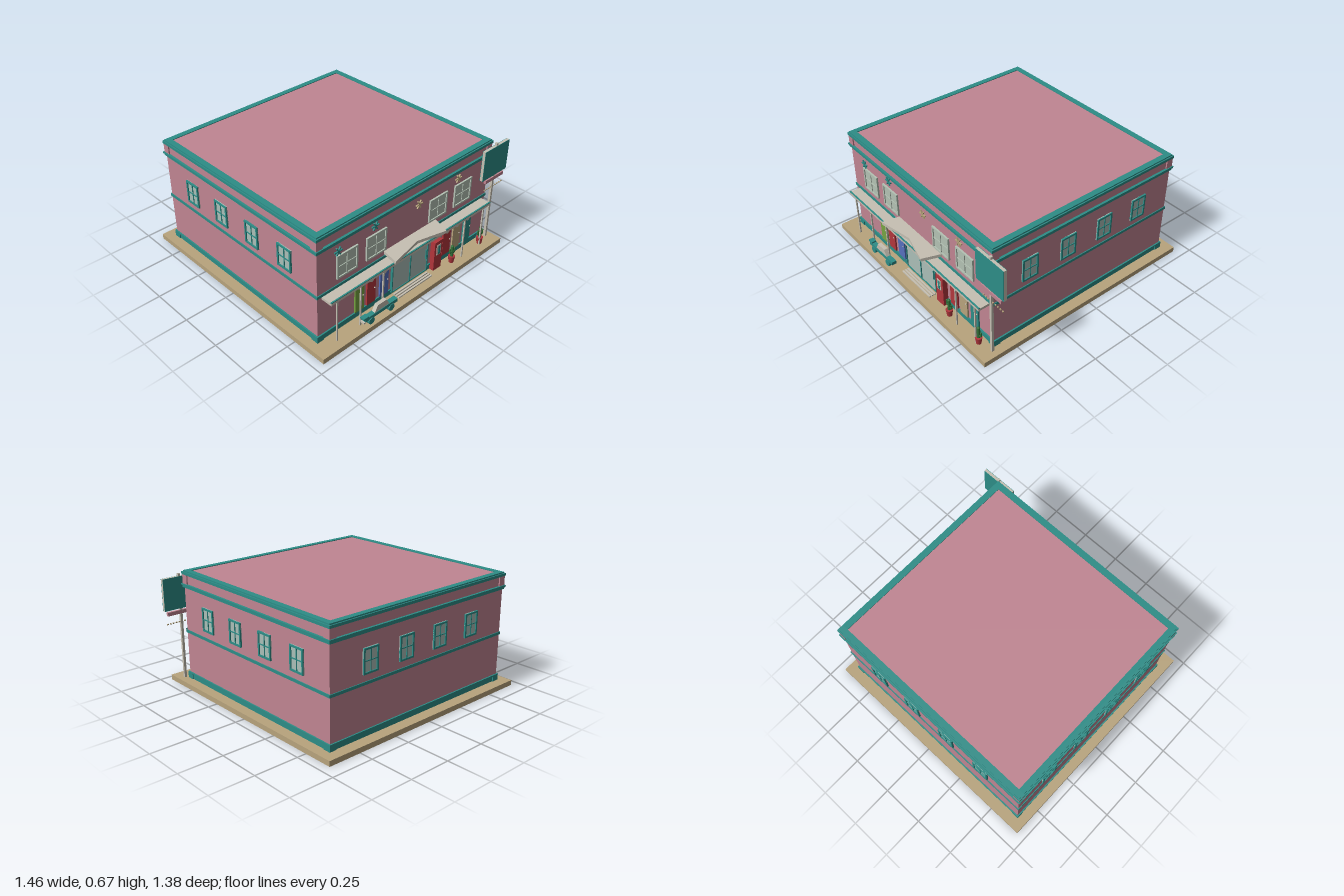
import * as THREE from 'three';

const mat = (name, color) => Object.assign(new THREE.MeshStandardMaterial({ color }), { name });

export function createModel() {
  const root = new THREE.Group();
  const pink = mat('pink stucco', 0xc08592), teal = mat('teal trim', 0x2d8d87);
  const tan = mat('tan', 0xb8a47d), glass = mat('pale glass', 0xabbfb8);
  const light = mat('light grey', 0xc6c0b3), red = mat('red', 0xb2363c);
  const green = mat('lime green', 0x76a342), blue = mat('blue', 0x5670be);
  const leaf = mat('cactus green', 0x33733a), sage = mat('sage glass', 0xb4c2b4);

  const add = (name, geo, m, x = 0, y = 0, z = 0, parent = root) => {
    const mesh = new THREE.Mesh(geo, m);
    mesh.name = name;
    mesh.position.set(x, y, z);
    parent.add(mesh);
    return mesh;
  };
  // Box given by its minimum and maximum on each axis
  const box = (name, m, x0, x1, y0, y1, z0, z1, parent = root) =>
    add(name, new THREE.BoxGeometry(x1 - x0, y1 - y0, z1 - z0), m,
      (x0 + x1) / 2, (y0 + y1) / 2, (z0 + z1) / 2, parent);
  const group = (name, x = 0, y = 0, z = 0, ry = 0) => {
    const g = new THREE.Group();
    g.name = name;
    g.position.set(x, y, z);
    g.rotation.y = ry;
    root.add(g);
    return g;
  };

  // Ground slab and main block, which reaches down through the slab
  const X0 = -0.64, X1 = 0.635, Z = 0.603;
  box('groundSlab', tan, -0.7, 0.697, 0, 0.03, -0.67, 0.71);
  box('walls', pink, X0, X1, 0, 0.666, -Z, Z);

  // Trim bands running round the building
  function band(name, y0, y1, out, inner = 0.03) {
    const g = group(name), a = X0 - out, b = X1 + out, c = Z + out, zi = Z - inner;
    box(name + 'Back', teal, a, b, y0, y1, -c, -zi, g);
    box(name + 'Front', teal, a, b, y0, y1, zi, c, g);
    box(name + 'Left', teal, a, X0 + inner, y0, y1, -zi, zi, g);
    box(name + 'Right', teal, X1 - inner, b, y0, y1, -zi, zi, g);
  }
  band('baseTrim', 0.03, 0.06, 0.003);
  band('baseLip', 0.06, 0.068, 0.008);
  band('beltTrim', 0.307, 0.323, 0.005);
  band('cornice', 0.573, 0.585, 0.008);
  band('corniceLip', 0.585, 0.595, 0.013);
  band('roofRim', 0.648, 0.663, 0.01);
  band('roofCap', 0.663, 0.67, 0.003);

  // Corner blocks on the base and parapet
  for (const x of [X0 + 0.014, X1 - 0.014]) for (const z of [-Z + 0.014, Z - 0.014]) {
    add('parapetCorner', new THREE.BoxGeometry(0.042, 0.054, 0.042), pink, x, 0.621, z);
    add('baseCorner', new THREE.BoxGeometry(0.044, 0.032, 0.044), teal, x, 0.046, z);
  }

  // Four-pane window facing +z of its group
  function windowUnit(x, z, ry, w, h, frame, pane) {
    const g = group('window', x, 0.43, z, ry), t = 0.01;
    box('windowGlass', pane, -w / 2, w / 2, -h / 2, h / 2, -0.002, 0.004, g);
    for (const s of [-1, 1]) {
      add('frameSide', new THREE.BoxGeometry(t, h, 0.014), frame, s * (w - t) / 2, 0, 0.003, g);
      add('frameRail', new THREE.BoxGeometry(w, t, 0.014), frame, 0, s * (h - t) / 2, 0.003, g);
    }
    add('muntinUpright', new THREE.BoxGeometry(0.005, h, 0.01), frame, 0, 0, 0.003, g);
    add('muntinBar', new THREE.BoxGeometry(w, 0.005, 0.01), frame, 0, 0, 0.003, g);
  }
  for (const p of [0.377, 0.127, -0.123, -0.373]) {
    windowUnit(X1, p, Math.PI / 2, 0.1, 0.135, teal, glass);
    windowUnit(X0, p, -Math.PI / 2, 0.1, 0.135, teal, glass);
    windowUnit(p, -Z, Math.PI, 0.1, 0.135, teal, glass);
  }
  for (const x of [-0.448, -0.248, 0.217, 0.418]) windowUnit(x, Z, 0, 0.14, 0.138, sage, sage);

  // Star ornaments made of three crossed bars
  [[-0.505, 0.523, teal], [-0.258, 0.545, teal], [0.063, 0.518, tan], [0.373, 0.537, tan]].forEach(([x, y, m]) => {
    for (let i = 0; i < 3; i++)
      add('starBar', new THREE.BoxGeometry(0.05, 0.006, 0.008), m, x, y, Z + 0.004).rotation.z = i * Math.PI / 3;
  });

  // Small coloured doors with round windows
  const disc = new THREE.CylinderGeometry(0.014, 0.014, 0.004, 16).rotateX(Math.PI / 2);
  [[-0.36, green], [-0.277, red], [-0.182, blue], [0.314, red], [0.398, tan], [0.49, teal]].forEach(([x, m]) => {
    box('door', m, x - 0.031, x + 0.031, 0.068, 0.267, Z, Z + 0.009);
    add('doorPorthole', disc, light, x, 0.224, Z + 0.01);
    add('doorKnob', new THREE.SphereGeometry(0.004, 8, 6), light, x + 0.022, 0.16, Z + 0.011);
  });

  // Central glazed entrance with a slatted mat
  box('entranceGlass', glass, -0.125, 0.153, 0.05, 0.278, Z, Z + 0.009);
  for (const x of [-0.123, 0.014, 0.151]) box('entrancePost', teal, x - 0.003, x + 0.003, 0.045, 0.28, Z, Z + 0.014);
  for (const y of [0.045, 0.274]) box('entranceRail', teal, -0.126, 0.154, y, y + 0.006, Z, Z + 0.014);
  box('entranceHandle', teal, 0.137, 0.142, 0.13, 0.19, Z, Z + 0.016);
  for (let i = 0; i < 3; i++) box('matSlat', light, -0.115, 0.15, 0.03, 0.037, 0.618 + i * 0.016, 0.628 + i * 0.016);

  // Porch roof and posts
  box('porchRoof', light, -0.61, 0.605, 0.288, 0.302, Z, 0.67);
  box('porchEdge', teal, -0.61, 0.605, 0.302, 0.306, 0.662, 0.67);
  for (const x of [-0.563, -0.402, -0.242, 0.4, 0.56])
    box('porchPost', light, x - 0.004, x + 0.004, 0.03, 0.288, 0.655, 0.663);

  // Notched entrance awning
  const awning = new THREE.Shape([[-0.185, -Z], [0.212, -Z], [0.175, -0.708], [0, -0.663], [-0.205, -0.702]]
    .map(([x, y]) => new THREE.Vector2(x, y)).reverse());
  add('awning', new THREE.ExtrudeGeometry(awning, { depth: 0.018, bevelEnabled: false }).rotateX(-Math.PI / 2), light, 0, 0.332, 0);

  // Roadside sign on a pole: grey core with coloured faces
  box('signPole', light, 0.648, 0.662, 0.03, 0.65, 0.622, 0.636);
  box('signCore', light, 0.55, 0.76, 0.45, 0.635, 0.621, 0.637);
  box('signFace', teal, 0.55, 0.76, 0.45, 0.635, 0.637, 0.639);
  box('signBack', teal, 0.55, 0.76, 0.45, 0.635, 0.619, 0.621);
  box('signLowerBoard', pink, 0.585, 0.74, 0.418, 0.439, 0.622, 0.638);
  for (let i = 0; i < 9; i++)
    box('signBulb', tan, 0.59 + i * 0.0185, 0.599 + i * 0.0185, 0.367, 0.373, 0.627, 0.633);

  // Red dispenser
  box('dispenser', red, 0.187, 0.25, 0.03, 0.218, 0.605, 0.635);
  box('dispenserScreen', light, 0.202, 0.235, 0.13, 0.195, 0.635, 0.638);
  box('dispenserSlot', teal, 0.212, 0.226, 0.135, 0.19, 0.638, 0.64);

  // Potted cacti
  for (const x of [0.322, 0.572]) {
    add('pot', new THREE.CylinderGeometry(0.02, 0.014, 0.042, 12), red, x, 0.051, 0.65);
    add('cactusTrunk', new THREE.CapsuleGeometry(0.009, 0.068, 4, 8), leaf, x, 0.1, 0.65);
    for (const [s, y] of [[-1, 0.1], [1, 0.09]]) {
      add('cactusElbow', new THREE.BoxGeometry(0.02, 0.008, 0.008), leaf, x + s * 0.011, y, 0.65);
      add('cactusArm', new THREE.CapsuleGeometry(0.005, 0.022, 4, 8), leaf, x + s * 0.02, y + 0.013, 0.65);
    }
  }

  // Little parked wagon
  const car = group('wagon', -0.283, 0, 0.678);
  box('wagonBody', teal, -0.115, 0.12, 0.062, 0.082, -0.014, 0.014, car);
  box('wagonBumper', light, -0.125, -0.115, 0.055, 0.065, -0.013, 0.013, car);
  box('wagonFin', teal, -0.125, -0.09, 0.08, 0.09, -0.014, 0.014, car);
  const cabin = new THREE.Shape([[-0.045, 0.082], [0.06, 0.082], [0.04, 0.12], [-0.025, 0.12]]
    .map(([x, y]) => new THREE.Vector2(x, y)));
  add('wagonCabin', new THREE.ExtrudeGeometry(cabin, { depth: 0.022, bevelEnabled: false }), light, 0, 0, -0.011, car);
  for (const x of [-0.072, 0.074])
    add('wheel', new THREE.CylinderGeometry(0.02, 0.02, 0.036, 16).rotateX(Math.PI / 2), teal, x, 0.05, 0, car);
  return root;
}
